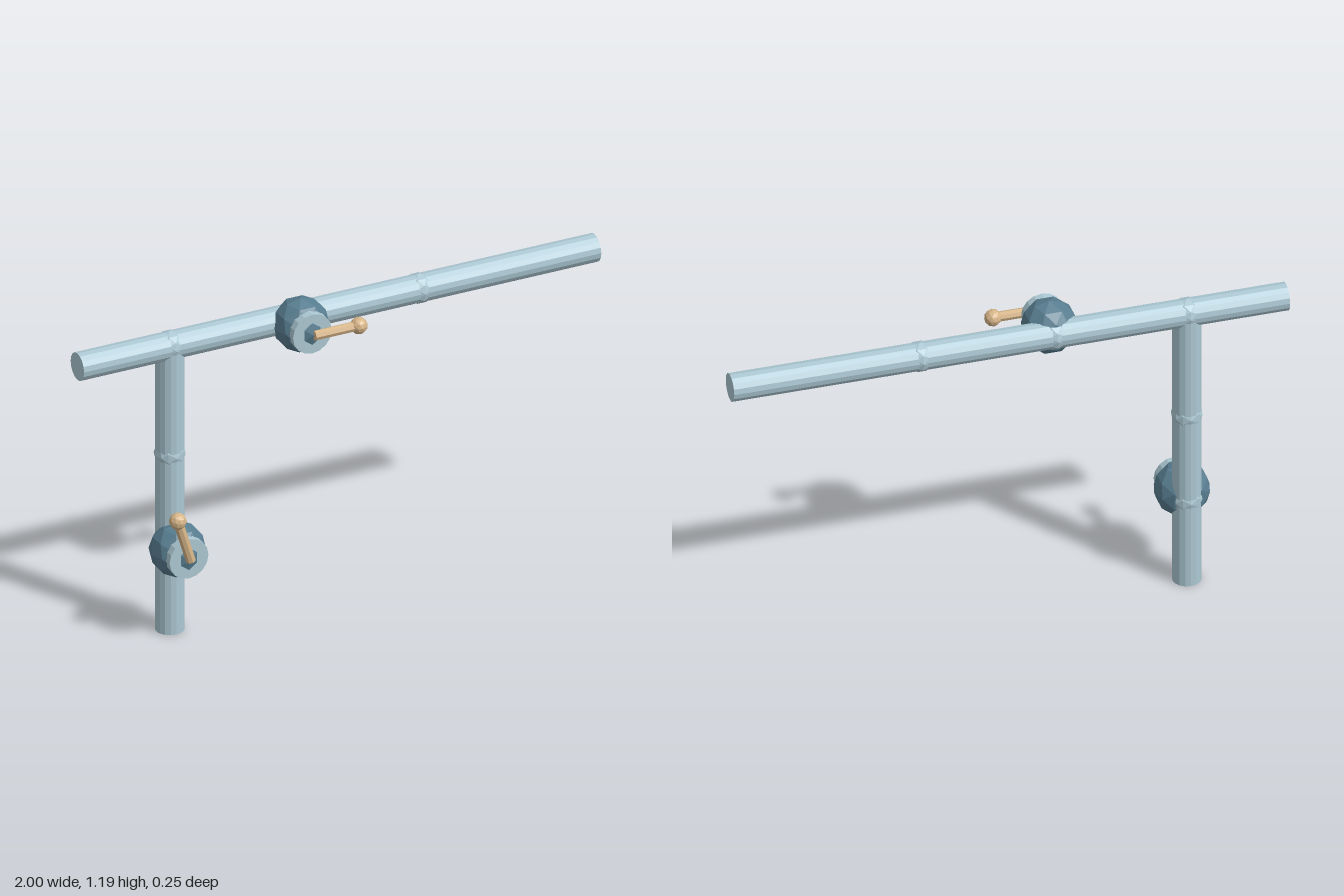
import * as THREE from 'three';

const steel = new THREE.MeshStandardMaterial({ name: 'pale blue pipe', color: 0xacc8d3, flatShading: true });
const body = new THREE.MeshStandardMaterial({ name: 'dark blue valve', color: 0x587d90, flatShading: true });
const brass = new THREE.MeshStandardMaterial({ name: 'tan handle', color: 0xd6b588, flatShading: true });

const PIPE_R = 0.051, PIPE_Z = -0.067, TOP_Y = 1.094, POST_X = -0.643;

function add(parent, name, geometry, material, x, y, z) {
  const mesh = new THREE.Mesh(geometry, material);
  mesh.name = name;
  mesh.position.set(x, y, z);
  parent.add(mesh);
  return mesh;
}

// Faceted valve with a face plate and a lever; turn 0 points the lever up
function makeValve(name, x, y, turn) {
  const valve = new THREE.Group();
  valve.name = name;
  valve.position.set(x, y, 0);
  add(valve, 'valveBody', new THREE.IcosahedronGeometry(0.1, 1), body, 0, 0, -0.008);
  add(valve, 'facePlate', new THREE.CylinderGeometry(0.075, 0.075, 0.035, 16), steel, 0, 0, 0.0625)
    .rotation.x = Math.PI / 2;

  const lever = new THREE.Group();
  lever.name = 'lever';
  lever.position.z = 0.094;
  lever.rotation.z = turn;
  add(lever, 'leverRod', new THREE.CylinderGeometry(0.018, 0.018, 0.172, 8), brass, 0, 0.086, 0);
  add(lever, 'leverKnob', new THREE.IcosahedronGeometry(0.031, 1), brass, 0, 0.172, 0);
  valve.add(lever);
  return valve;
}

export function createModel() {
  const model = new THREE.Group();
  model.name = 'pipework';

  // Main run and standing pipe
  add(model, 'mainPipe', new THREE.CylinderGeometry(PIPE_R, PIPE_R, 2, 16), steel, 0, TOP_Y, PIPE_Z)
    .rotation.z = Math.PI / 2;
  add(model, 'standPipe', new THREE.CylinderGeometry(PIPE_R, PIPE_R, TOP_Y, 16), steel, POST_X, TOP_Y / 2, PIPE_Z);

  // Faceted joints that barely break the pipe surface
  const joints = [[POST_X, 0.335], [POST_X, 0.68], [POST_X, TOP_Y], [-0.165, TOP_Y], [0.318, TOP_Y]];
  for (const [x, y] of joints) {
    add(model, 'joint', new THREE.IcosahedronGeometry(0.0555, 1), steel, x, y, PIPE_Z);
  }

  model.add(makeValve('lowerValve', POST_X, 0.335, 0.3));
  model.add(makeValve('upperValve', -0.166, TOP_Y, -Math.PI / 2));
  return model;
}
